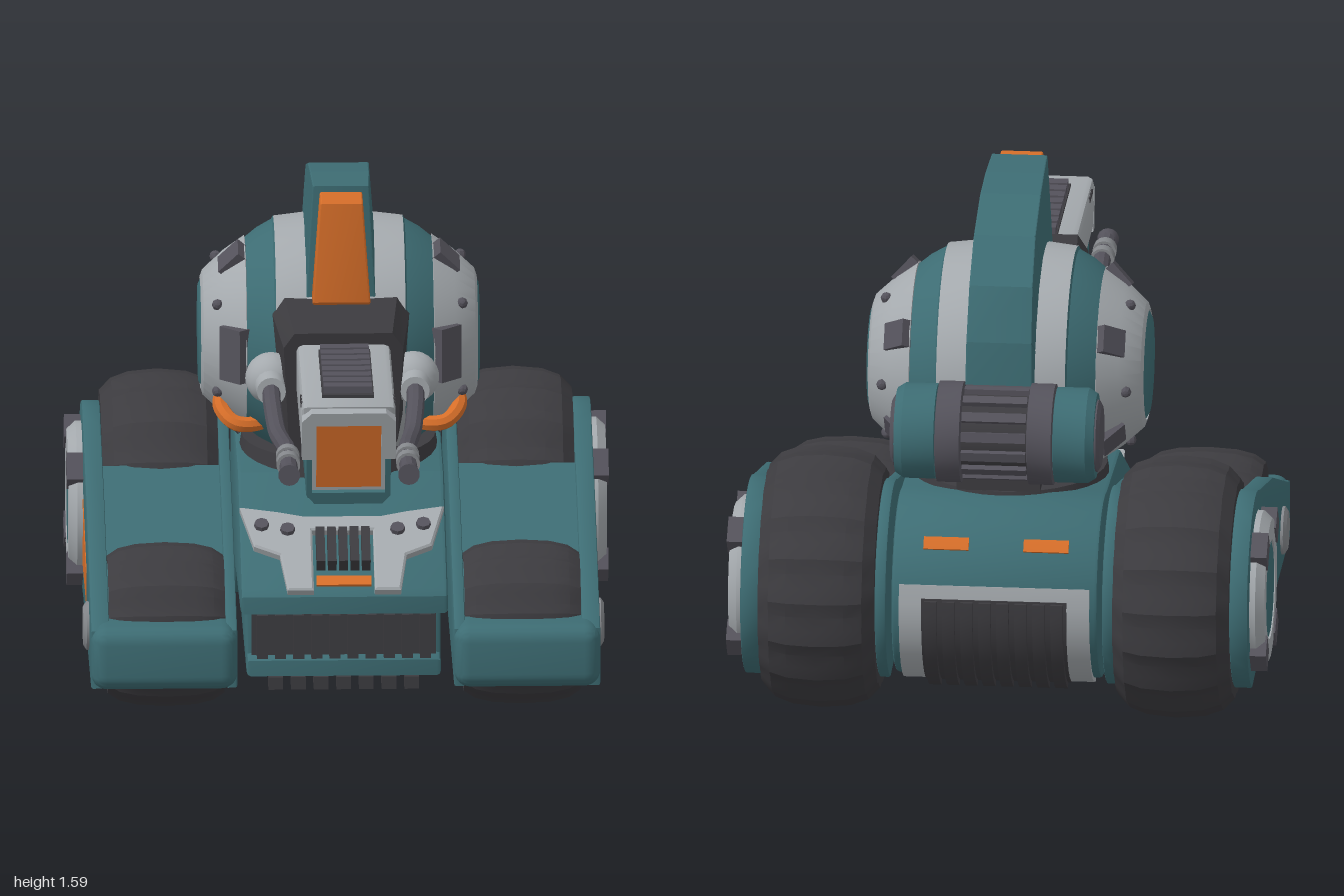
import * as THREE from 'three';
import { toCreasedNormals } from 'three/addons/utils/BufferGeometryUtils.js';
import { RoundedBoxGeometry } from 'three/addons/geometries/RoundedBoxGeometry.js';

const colour = (name, hex) => {
  const m = new THREE.MeshStandardMaterial({ color: hex });
  m.name = name;
  return m;
};
const rad = THREE.MathUtils.degToRad;
const v3 = (x, y, z) => new THREE.Vector3(x, y, z);

// Box from its centre and size
const box = (x, y, z, w, h, d) => new THREE.BoxGeometry(w, h, d).translate(x, y, z);

// Flat outline of [x, y] points
const outline = pts => new THREE.Shape(pts.map(p => new THREE.Vector2(...p)));

// Half outline joined to its mirror image
const mirrored = half => [...half, ...half.map(([x, y]) => [-x, y]).reverse()];

// Side profile of [z, y] points extruded from x0 to x1
function extrudeX(pts, x0, x1, bevel = 0) {
  return new THREE.ExtrudeGeometry(outline(pts.map(([z, y]) => [-z, y])), {
    depth: x1 - x0 - 2 * bevel, bevelEnabled: bevel > 0, bevelSize: bevel,
    bevelThickness: bevel, bevelOffset: -bevel, bevelSegments: 2,
  }).rotateY(Math.PI / 2).translate(x0 + bevel, 0, 0);
}

// Profile of [radius, x] points turned about an axis along x
const latheX = (pts, segs, y = 0, z = 0) =>
  new THREE.LatheGeometry(pts.map(([r, x]) => new THREE.Vector2(r, x)), segs)
    .rotateZ(-Math.PI / 2).translate(0, y, z);

const arc = (cz, cy, r, a0, a1, n) => Array.from({ length: n + 1 }, (_, i) => {
  const a = rad(a0 + (a1 - a0) * i / n);
  return [cz + r * Math.cos(a), cy + r * Math.sin(a)];
});

// Mirror across x = 0, keeping faces outward
function flip(geo) {
  const g = geo.index ? geo.toNonIndexed() : geo.clone();
  g.scale(-1, 1, 1);
  for (const a of Object.values(g.attributes)) {
    const s = a.itemSize, d = a.array;
    for (let i = 0; i < d.length; i += 3 * s) for (let k = 0; k < s; k++) {
      const t = d[i + s + k];
      d[i + s + k] = d[i + 2 * s + k];
      d[i + 2 * s + k] = t;
    }
  }
  return g;
}

export function createModel() {
  const root = new THREE.Group();
  const teal = colour('teal paint', 0x3d6c73);
  const light = colour('light armour', 0xa5aaae);
  const orange = colour('orange paint', 0xd66e29);
  const dark = colour('dark rubber', 0x3c3b3f);
  const plum = colour('plum metal', 0x54525b);
  const grey = colour('grey metal', 0x85888c);

  const add = (name, geo, mat, crease = 0.5) => {
    const mesh = new THREE.Mesh(toCreasedNormals(geo, crease), mat);
    mesh.name = name;
    root.add(mesh);
  };
  const pair = (name, geo, mat, crease) => {
    add(name + 'Left', geo, mat, crease);
    add(name + 'Right', flip(geo), mat, crease);
  };

  // Tyres with stepped tread
  function tyre(name, R, y, z, lugs) {
    const prof = [[.5, .38], [.84, .37], [.93, .405], [.98, .46], [1, .55], [.98, .64], [.93, .695], [.84, .73], [.5, .72], [0, .7]];
    const g = latheX([[0, .4], ...prof].map(([r, x]) => [r * R, x]), lugs * 3);
    const p = g.attributes.position;
    for (let i = 0; i < p.count; i++) {
      const py = p.getY(i), pz = p.getZ(i);
      if (Math.hypot(py, pz) < 0.8 * R) continue;
      const t = Math.atan2(pz, py) / (2 * Math.PI) * lugs + 100.17;
      const k = 1.008 - 0.045 * (t - Math.floor(t));
      p.setY(i, py * k);
      p.setZ(i, pz * k);
    }
    pair(name, g.translate(0, y, z), dark, 0.35);
  }
  const RZ = -0.59, RY = 0.41;
  tyre('rearTyre', 0.403, RY, RZ, 18);
  tyre('frontTyre', 0.254, 0.28, 0.3, 16);

  // Side pods: two plates round the wheels, a sloping cover and a rounded nose
  const plate = [[-.35, .16], [.585, .16], [.585, .345], [.52, .365], [0, .565], ...arc(RZ, RY, .308, 65, 245, 18)];
  pair('podOuterPlate', extrudeX(plate, .73, .787, .006), teal);
  pair('podInnerPlate', extrudeX(plate, .335, .37, .006), teal);
  pair('podCover', extrudeX([[.56, .29], [.56, .34], [.5, .35], [0, .53], [-.26, .62], [-.22, .57], [0, .48], [.48, .3]], .36, .74), teal);
  pair('podNose', new RoundedBoxGeometry(.452, .2, .21, 4, .05).translate(.561, .26, .528), teal);
  pair('podPanel', extrudeX([[.05, .27], [.05, .37], [-.35, .485], ...arc(RZ, RY, .25, 15, -34, 5)], .781, .789), orange);
  pair('frontHub', latheX([[.075, .78], [.075, .795], [.06, .805], [0, .805]], 20, .28, .31), grey);

  // Rear wheel hubs
  pair('rearHubRing', latheX([[.245, .78], [.245, .805], [.22, .832], [.155, .832], [.155, .815]], 24, RY, RZ), light);
  pair('rearHubDisc', latheX([[.157, .8], [.157, .825], [.14, .83], [0, .83]], 24, RY, RZ), teal);
  for (const a of [45, 135, 225, 315])
    pair('rearHubLug', box(.81, .23, 0, .055, .075, .09).rotateX(rad(a + 5)).translate(0, RY, RZ), plum);

  // Hull: upper body with rounded tail, and a narrower chassis below
  add('hull', extrudeX([[.36, .335], [.42, .345], [.42, .4], [.4, .42],
    [-.05, .66], ...arc(RZ, RY, .29, 75, 335, 22)], -.32, .32, .012), teal);
  add('chassis', extrudeX([[.3, .12], [.37, .13], [.37, .18], [.32, .19], [.32, .36], [-.5, .36], [-.59, .12]], -.3, .3, .012), teal);
  add('grilleBack', box(0, .26, .31, .57, .14, .06), dark);
  for (let i = 0; i < 10; i++) {
    add('grilleSlat', box(-.252 + i * .056, .26, .355, .034, .14, .06), dark);
    if (i < 7) add('chinTooth', box(-.21 + i * .07, .1, .31, .045, .04, .08), dark);
  }

  // Sloped front armour, drawn flat and leaned back on the hull
  const lean = g => g.rotateX(-1.08).translate(0, .42, .4);
  const armour = mirrored([[.1, .24], [.1, -.02], [.17, -.02], [.19, .13], [.27, .17], [.31, .33], [.2, .31], [.12, .29]]);
  add('frontArmour', lean(new THREE.ExtrudeGeometry(outline(armour),
    { depth: .02, bevelEnabled: true, bevelSize: .006, bevelThickness: .006, bevelSegments: 1 })), light);
  add('frontSlit', lean(box(0, .03, .004, .17, .04, .008)), orange);
  for (let i = 0; i < 5; i++) add('frontVent', lean(box(-.07 + i * .035, .155, .02, .027, .15, .045)), dark);
  for (const [x, t] of [[.25, .25], [.17, .23]])
    pair('armourBolt', lean(new THREE.CylinderGeometry(.022, .024, .02, 8).rotateX(Math.PI / 2).translate(x, t, .03)), plum);

  // Framed vent and two slits on the tail
  const tailBand = (r0, r1, a0, a1, x0, x1) =>
    extrudeX([...arc(RZ, RY, r0, a0, a1, 8), ...arc(RZ, RY, r1, a1, a0, 8)], x0, x1);
  add('tailFrame', tailBand(.27, .304, 164, 258, -.295, .295), light);
  add('tailVentBack', tailBand(.27, .308, 172, 248, -.225, .225), dark);
  for (let i = 0; i < 8; i++) add('tailSlat', tailBand(.28, .326, 173, 247, -.215 + i * .056, -.177 + i * .056), dark);
  pair('tailSlit', tailBand(.285, .297, 134, 142, .085, .225), orange);

  // Turret ring and neck
  const TY = 1.035, TZ = -.31;
  add('turretRing', new THREE.CylinderGeometry(.3, .31, .06, 32).translate(0, .68, TZ), dark);
  add('turretNeck', new THREE.CylinderGeometry(.2, .22, .14, 24).translate(0, .76, TZ), dark);
  add('neckFront', box(0, .77, -.13, .3, .13, .2), dark);

  // Ball turret in coloured bands
  add('turretCore', latheX([[.36, -.2], [.372, -.1], [.375, 0], [.372, .1], [.36, .2]], 32, TY, TZ), light);
  pair('turretBand', latheX([[.36, .2], [.35, .205], [.325, .25], [.285, .3]], 32, TY, TZ), teal);
  pair('turretSideRing', latheX([[.28, .285], [.3, .29], [.255, .355], [.195, .42], [.172, .428], [.165, .4]], 32, TY, TZ), light);
  pair('turretSideDisc', latheX([[.167, .39], [.167, .425], [.15, .434], [0, .434]], 32, TY, TZ), teal);
  for (const a of [34, 106, 178, 250, 322]) {
    const spin = g => g.rotateX(rad(a - 90)).translate(0, TY, TZ);
    const length = a === 178 ? .17 : .085;
    pair('turretLug', spin(box(0, 0, 0, .05, .09, length).rotateZ(.75).translate(.325, .265, 0)), plum);
    pair('turretBolt', spin(new THREE.SphereGeometry(.018, 8, 6).translate(.378, .235, 0).rotateX(rad(36))), plum);
  }
  pair('orangeHose', new THREE.TubeGeometry(new THREE.CatmullRomCurve3(
    [v3(.36, .89, -.17), v3(.368, .85, -.13), v3(.325, .81, -.085), v3(.25, .805, -.1), v3(.22, .82, -.15)]), 20, .025, 8), orange);

  // Crest in segments following the ball
  const crestTop = [[0, 1.599], [-.16, 1.597], [-.31, 1.58], [-.51, 1.515], [-.64, 1.395], [-.712, 1.235], [-.73, 1.1]];
  const crestFoot = [[0, 1.2], [-.2, 1.33], [-.31, 1.35], [-.43, 1.33], [-.53, 1.25], [-.6, 1.16], [-.63, 1.06]];
  for (let i = 0; i < 6; i++) {
    const g = extrudeX([crestTop[i], crestFoot[i], crestFoot[i + 1], crestTop[i + 1]], -.1, .1, .004);
    const p = g.attributes.position;
    for (let k = 0; k < p.count; k++) {
      const d = Math.hypot(p.getY(k) - TY, p.getZ(k) - TZ);
      p.setX(k, p.getX(k) * (1.35 - d * .75));
    }
    add('crestSegment', g, teal, .3);
  }
  const face = extrudeX([[.09, 1.25], [.095, 1.57], [.085, 1.58], [-.01, 1.58], [-.01, 1.24], [.08, 1.24]], -.09, .09, .006);
  const fp = face.attributes.position;
  for (let k = 0; k < fp.count; k++) fp.setX(k, fp.getX(k) * (1 - (fp.getY(k) - 1.24) * .8));
  add('crestFace', face, orange);

  // Rear drum
  const DY = .965, DZ = -.78;
  add('drumCore', latheX([[0, -.2], [.13, -.2], [.13, .2], [0, .2]], 24, DY, DZ), dark);
  for (let i = 0; i < 14; i++)
    add('drumRib', box(0, .13, 0, .2, .03, .03).rotateX(i * Math.PI / 7).translate(0, DY, DZ), plum);
  pair('drumBand', latheX([[.12, .1], [.157, .105], [.157, .18], [.12, .185]], 24, DY, DZ), plum);
  pair('drumCap', latheX([[.12, .18], [.148, .185], [.148, .285], [.132, .31], [.11, .31], [.11, .28]], 24, DY, DZ), teal);
  pair('drumEnd', latheX([[.112, .27], [.112, .315], [.095, .325], [0, .325]], 24, DY, DZ), plum);
  add('drumBracket', box(0, .86, -.65, .26, .2, .18), dark);

  // Gun mount, tapering forwards
  const oct = mirrored([[.17, .83], [.2, .87], [.22, 1.19], [.18, 1.24]]);
  const mount = new THREE.ExtrudeGeometry(outline(oct), { depth: .42, bevelEnabled: false }).translate(0, 0, -.1);
  const mp = mount.attributes.position;
  for (let k = 0; k < mp.count; k++) if (mp.getZ(k) > .2) {
    mp.setX(k, mp.getX(k) * .84);
    mp.setZ(k, .27 + (mp.getY(k) - .83) * .14);
    mp.setY(k, mp.getY(k) * .98 + .008);
  }
  add('gunMount', mount, dark);

  // Gun barrel with a raked muzzle
  add('barrelTop', extrudeX([[.28, 1.185], [.97, 1.183], [.93, 1.02], [.28, 1.02]], -.145, .145, .02), light);
  add('barrelBottom', extrudeX([[.28, 1.03], [.93, 1.03], [.9, .88], [.885, .862], [.28, .862]], -.13, .13, .012), teal);
  const rake = (g, z) => g.rotateX(.245).translate(0, 1.02, z);
  const rim = half => rake(new THREE.ExtrudeGeometry(outline(mirrored(half)), { depth: .04, bevelEnabled: false }), .92);
  add('muzzleHood', rim([[.1, .12], [.1, 0], [.145, 0], [.145, .135], [.115, .165]]), light);
  add('muzzleChin', rim([[.113, -.12], [.113, 0], [.13, 0], [.13, -.13], [.105, -.16]]), teal);
  add('muzzleFrame', rake(box(0, -.06, 0, .226, .12, .03), .932), light);
  add('muzzleFace', rake(box(0, .005, 0, .2, .232, .009), .947), orange);
  add('ventBase', box(0, 1.185, .635, .16, .016, .48), dark);
  for (let i = 0; i < 8; i++) add('ventFin', box(0, 1.195, .43 + i * .058, .15, .04, .042), plum);
  for (const z of [.81, .845, .88]) pair('barrelSlot', box(.139, 1.165, z, .016, .016, .016), dark);

  // Ball joints and hoses along the barrel
  pair('jointBall', new THREE.SphereGeometry(.08, 20, 14).translate(.22, 1.03, .16), light);
  pair('jointCollar', new THREE.CylinderGeometry(.045, .05, .08, 16).rotateX(Math.PI / 2).translate(.222, 1.025, .25), light);
  pair('gunHose', new THREE.TubeGeometry(new THREE.CatmullRomCurve3(
    [v3(.222, 1.025, .25), v3(.222, 1.01, .36), v3(.21, .955, .48), v3(.195, .955, .6), v3(.185, .975, .75), v3(.185, .975, .97)]), 32, .028, 10), plum);
  for (const z of [.81, .88])
    pair('hoseCollar', new THREE.CylinderGeometry(.037, .037, .04, 14).rotateX(Math.PI / 2).translate(.185, .975, z), grey);
  pair('hoseNozzle', new THREE.CylinderGeometry(.034, .028, .05, 14).rotateX(Math.PI / 2).translate(.185, .972, .972), plum);
  return root;
}
